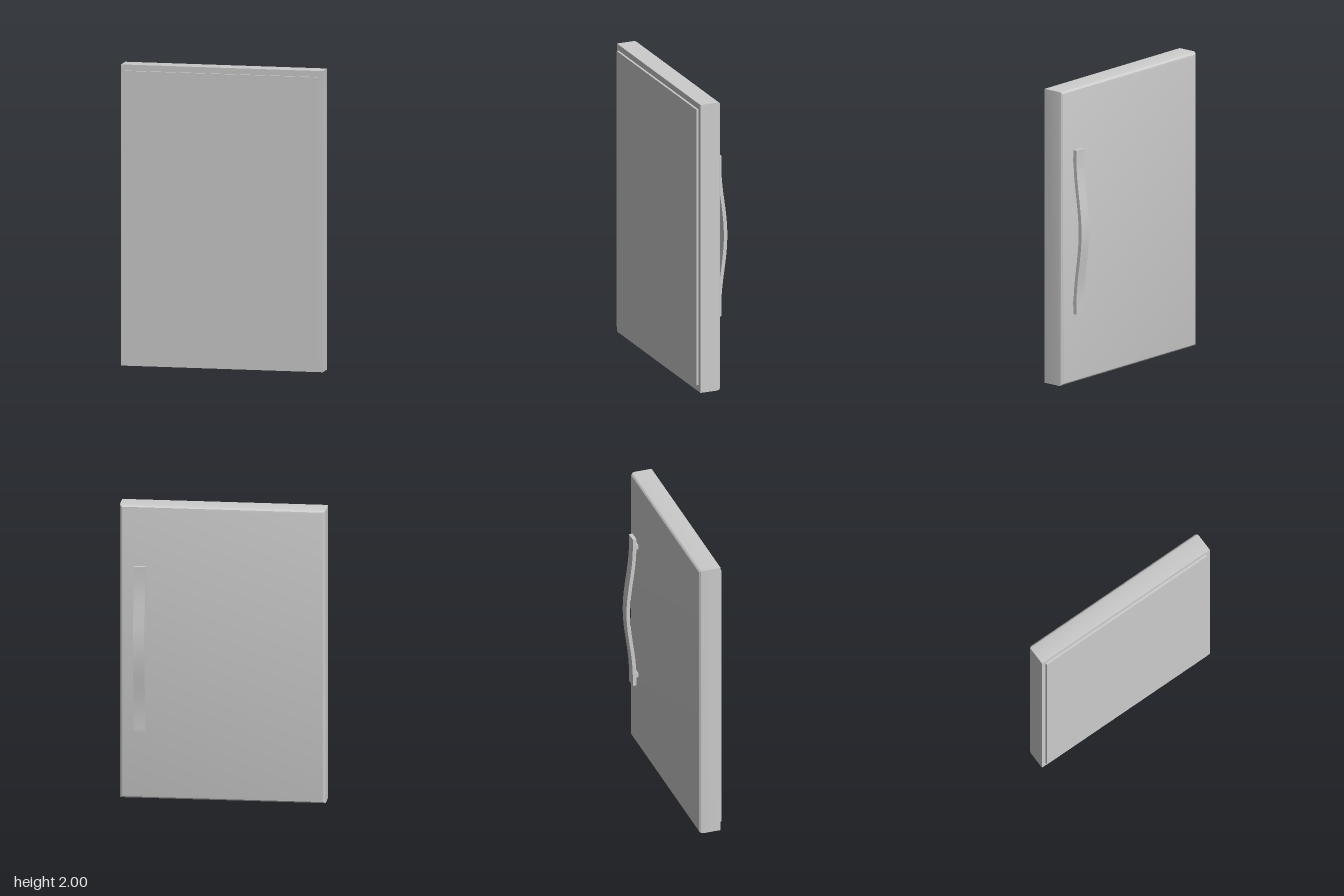
import * as THREE from 'three';
import { toCreasedNormals } from 'three/addons/utils/BufferGeometryUtils.js';

const material = new THREE.MeshStandardMaterial({ color: 0xcccccc });
const HALF_W = 0.68, HEIGHT = 2, FRONT = 0.11, BACK = -0.04;

function add(group, name, geometry, x = 0, y = 0, z = 0) {
  const mesh = new THREE.Mesh(geometry, material);
  mesh.name = name;
  mesh.position.set(x, y, z);
  group.add(mesh);
  return mesh;
}

// Door slab: rectangular rings from front to back, with a rounded rear edge
function slabGeometry() {
  const r = 0.026, steps = 3;
  const profile = [[0, FRONT]]; // [inset, z]
  for (let i = 0; i <= steps; i++) {
    const a = (i / steps) * Math.PI / 2;
    profile.push([r * (1 - Math.cos(a)), BACK + r * (1 - Math.sin(a))]);
  }
  const positions = [], index = [];
  for (const [inset, z] of profile) {
    const w = HALF_W - inset, top = HEIGHT - inset;
    positions.push(-w, inset, z, w, inset, z, w, top, z, -w, top, z);
  }
  for (let i = 0; i < profile.length - 1; i++) {
    for (let j = 0; j < 4; j++) {
      const a = i * 4 + j, b = i * 4 + (j + 1) % 4;
      index.push(a, a + 4, b, b, a + 4, b + 4);
    }
  }
  const e = (profile.length - 1) * 4;
  index.push(0, 1, 2, 0, 2, 3, e, e + 2, e + 1, e, e + 3, e + 2);
  const geometry = new THREE.BufferGeometry();
  geometry.setAttribute('position', new THREE.Float32BufferAttribute(positions, 3));
  geometry.setIndex(index);
  return toCreasedNormals(geometry, 0.4);
}

// Handle: flat strip with straight ends, bowed outward in the middle
function handleGeometry() {
  const mid = 1.034, half = 0.558, bowHalf = 0.49, bow = 0.044;
  const inner = -0.057, thick = 0.025, width = 0.076, steps = 16;
  const rows = [[mid - half, 0]];
  for (let i = 0; i <= steps; i++) {
    const t = (i / steps) * 2 - 1;
    rows.push([mid + t * bowHalf, bow * (0.5 + 0.5 * Math.cos(Math.PI * t))]);
  }
  rows.push([mid + half, 0]);
  const inside = rows.map(([y, d]) => new THREE.Vector2(inner - d, y));
  const outside = rows.map(([y, d]) => new THREE.Vector2(inner - d - thick, y)).reverse();
  const geometry = new THREE.ExtrudeGeometry(new THREE.Shape([...inside, ...outside]),
    { depth: width, bevelEnabled: false });
  geometry.rotateY(-Math.PI / 2);
  geometry.translate(0.583, 0, 0);
  return toCreasedNormals(geometry, 0.4);
}

export function createModel() {
  const group = new THREE.Group();
  group.name = 'door';
  add(group, 'doorSlab', slabGeometry());

  // Raised inner panel on the front
  add(group, 'innerPanel', new THREE.BoxGeometry(1.3, 1.914, 0.016), 0, 1.003, FRONT + 0.007);

  // Handle with its two mounting posts on the back
  const handle = new THREE.Group();
  handle.name = 'handle';
  add(handle, 'handleBar', handleGeometry());
  for (const y of [0.546, 1.522]) {
    add(handle, 'handlePost', new THREE.BoxGeometry(0.052, 0.032, 0.022), 0.544, y, -0.048);
  }
  group.add(handle);
  return group;
}
